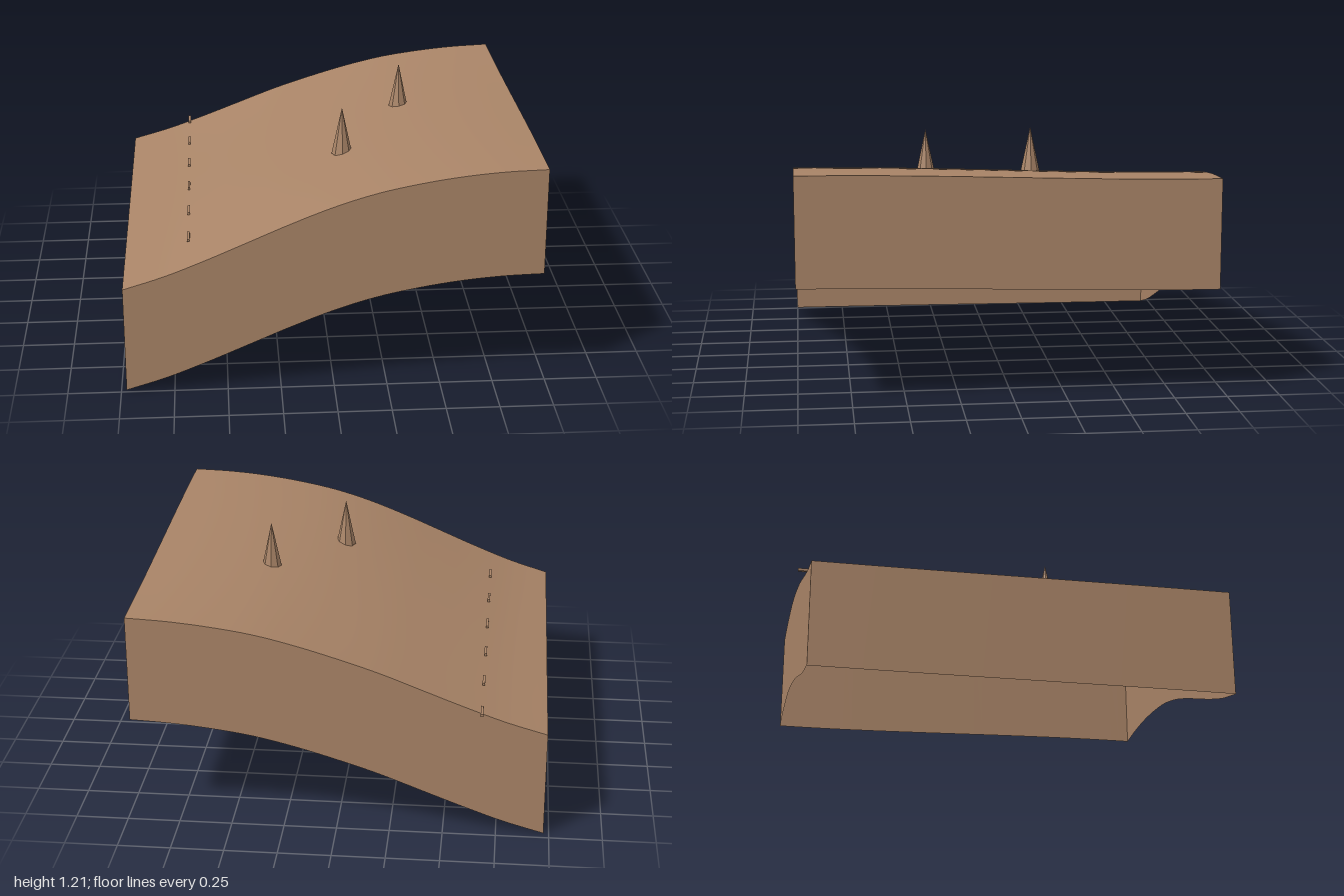
import * as THREE from 'three';

const X = 0.975, Z0 = -0.96, Z1 = 1, DEPTH = 0.52;

// Hillside profiles along x at the front and back edges
const stations = Array.from({ length: 11 }, (_, i) => -X + (i * 2 * X) / 10);
const profile = (heights) => new THREE.CubicInterpolant(stations, heights, 1);
const front = profile([0.53, 0.592, 0.67, 0.755, 0.84, 0.917, 0.978, 1.02, 1.05, 1.068, 1.075]);
const back = profile([0.52, 0.577, 0.648, 0.724, 0.8, 0.865, 0.923, 0.97, 1.0, 1.02, 1.03]);

function heightAt(x, z) {
  const cx = THREE.MathUtils.clamp(x, -X, X);
  const w = THREE.MathUtils.smoothstep(z, Z0, Z1);
  return THREE.MathUtils.lerp(back.evaluate(cx)[0], front.evaluate(cx)[0], w);
}

export function createModel() {
  const group = new THREE.Group();
  const earth = new THREE.MeshStandardMaterial({ color: 0xa98467, side: THREE.DoubleSide });
  const earthFlat = earth.clone();
  earthFlat.flatShading = true;

  const add = (geometry, material, name) => {
    const mesh = new THREE.Mesh(geometry, material);
    mesh.name = name;
    group.add(mesh);
    return mesh;
  };

  // Rolling ground surface
  const ground = new THREE.PlaneGeometry(2 * X, Z1 - Z0, 40, 40);
  ground.rotateX(-Math.PI / 2).translate(0, 0, (Z0 + Z1) / 2);
  const gp = ground.attributes.position;
  for (let i = 0; i < gp.count; i++) gp.setY(i, heightAt(gp.getX(i), gp.getZ(i)));
  ground.computeVertexNormals();
  add(ground, earth, 'groundSurface');

  // Skirt walls hanging from each edge, open underneath
  const wall = (name, ax, az, bx, bz) => {
    const g = new THREE.PlaneGeometry(1, 1, 40, 1);
    const p = g.attributes.position;
    for (let i = 0; i < p.count; i++) {
      const t = p.getX(i) + 0.5;
      const x = THREE.MathUtils.lerp(ax, bx, t), z = THREE.MathUtils.lerp(az, bz, t);
      p.setXYZ(i, x, heightAt(x, z) - (p.getY(i) < 0 ? DEPTH : 0), z);
    }
    g.computeVertexNormals();
    add(g, earth, name);
  };
  wall('frontWall', -X, Z1, X, Z1);
  wall('leftWall', X, Z1, X, Z0);
  wall('backWall', X, Z0, -X, Z0);
  wall('rightWall', -X, Z0, -X, Z1);

  // Cone trees
  for (const [x, z, tip] of [[0.08, 0.345, 1.155], [0.403, -0.14, 1.205]]) {
    const h = 0.235;
    add(new THREE.ConeGeometry(0.05, h, 8), earthFlat, 'coneTree').position.set(x, tip - h / 2, z);
  }

  // Row of small dashes along the low side
  for (let i = 0; i < 6; i++) {
    const z = -0.955 + i * 0.326;
    add(new THREE.BoxGeometry(0.012, 0.012, 0.09), earthFlat, 'laneDash')
      .position.set(-0.67, heightAt(-0.67, z) + 0.01, z);
  }
  return group;
}
